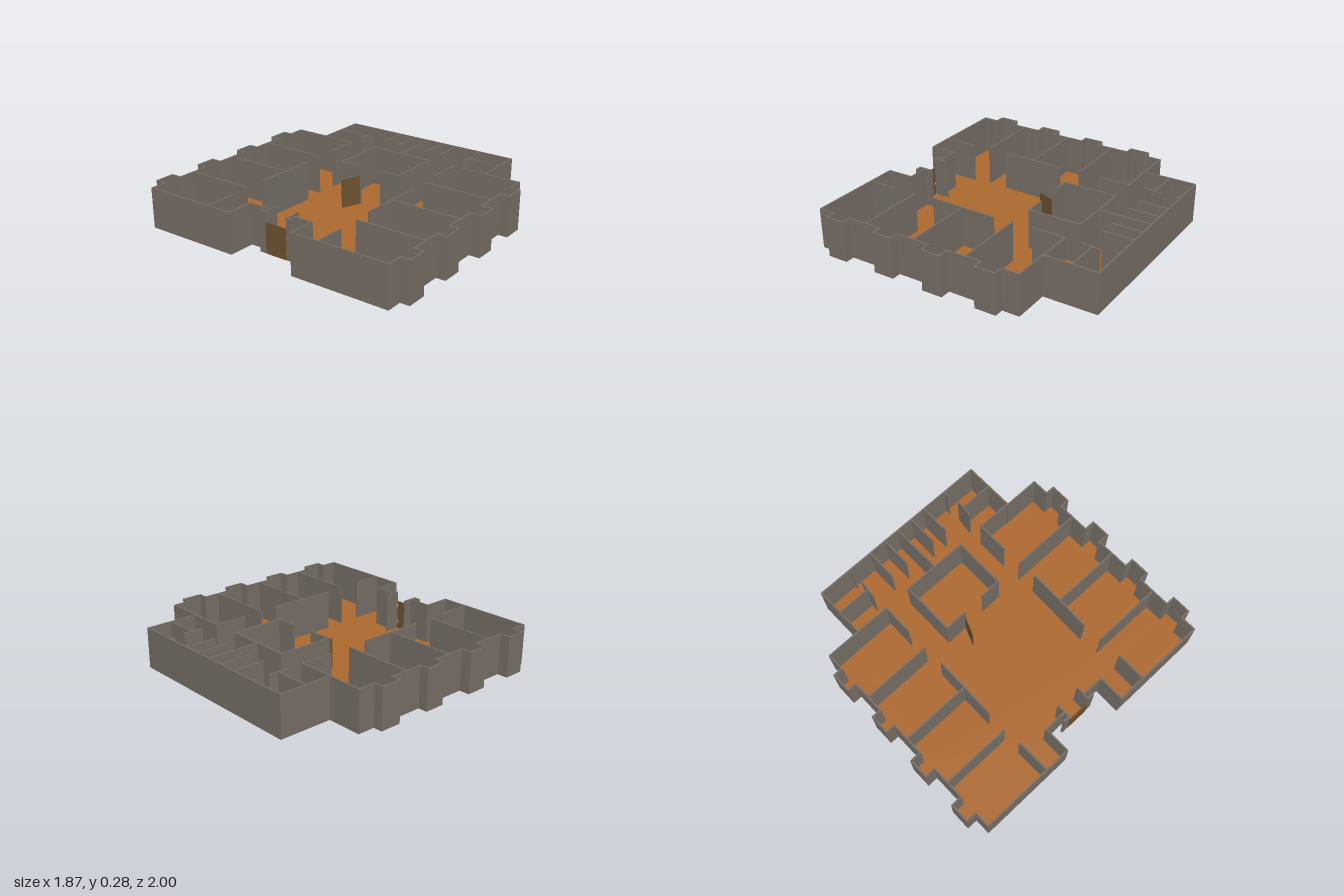
import * as THREE from 'three';

const H = 0.28; // wall height
const T = 0.01; // wall thickness
const FLOOR = 0.004;

export function createModel() {
  const root = new THREE.Group();
  const wallMat = new THREE.MeshStandardMaterial({ color: 0x766e66 });
  const floorMat = new THREE.MeshStandardMaterial({ color: 0xad682f });
  const doorMat = new THREE.MeshStandardMaterial({ color: 0x6b5230 });

  // upright panel between two plan points [x, z]
  function panel(parent, name, [x1, z1], [x2, z2], height = H, mat = wallMat, thick = T, overlap = T) {
    const length = Math.hypot(x2 - x1, z2 - z1) + overlap;
    const mesh = new THREE.Mesh(new THREE.BoxGeometry(length, height, thick), mat);
    mesh.position.set((x1 + x2) / 2, height / 2, (z1 + z2) / 2);
    mesh.rotation.y = -Math.atan2(z2 - z1, x2 - x1);
    mesh.name = name;
    parent.add(mesh);
  }
  function group(name) {
    const g = new THREE.Group();
    g.name = name;
    root.add(g);
    return g;
  }

  // plan outline: window bays along the back and the front
  const bays = [[-0.82, -0.688], [-0.447, -0.312], [-0.07, 0.063], [0.302, 0.44]];
  const backDepth = [-0.995, -0.995, -0.985, -0.985];
  const frontDepth = [0.985, 0.985, 0.995, 0.985];
  const outline = [[-0.745, -0.085], [-0.745, -0.247], [-0.93, -0.247], [-0.93, -0.922]];
  bays.forEach(([a, b], i) => outline.push([a, -0.922], [a, backDepth[i]], [b, backDepth[i]], [b, -0.922]));
  outline.push([0.56, -0.922], [0.56, -0.68], [0.93, -0.68], [0.93, 0.667], [0.56, 0.667], [0.56, 0.92]);
  for (let i = 3; i >= 0; i--) {
    const [a, b] = bays[i];
    outline.push([b, 0.92], [b, frontDepth[i]], [a, frontDepth[i]], [a, 0.92]);
  }
  outline.push([-0.93, 0.92], [-0.93, 0.24], [-0.745, 0.24], [-0.745, 0.085]);

  // floor slab, including the entrance alcove
  const shape = new THREE.Shape(
    [...outline, [-0.79, 0.085], [-0.79, -0.085]].map(([x, z]) => new THREE.Vector2(x, -z)));
  const floor = new THREE.Mesh(
    new THREE.ExtrudeGeometry(shape, { depth: FLOOR, bevelEnabled: false }), floorMat);
  floor.rotation.x = -Math.PI / 2;
  floor.name = 'floor';
  root.add(floor);

  // outer walls, open at the entrance
  const outer = group('outerWalls');
  for (let i = 0; i < outline.length - 1; i++) panel(outer, 'outerWall', outline[i], outline[i + 1]);

  // entrance: side walls, short outer wings and the closed door
  const entrance = group('entrance');
  for (const s of [-1, 1]) {
    panel(entrance, 'entranceSideWall', [-0.785, s * 0.085], [-0.69, s * 0.085]);
    panel(entrance, 'entranceWing', [-0.785, s * 0.09], [-0.785, s * 0.125], H, wallMat, 0.015);
  }
  panel(entrance, 'entranceDoor', [-0.793, -0.08], [-0.793, 0.08], 0.21, doorMat, 0.004, 0);

  // walls between rooms: [x, zStart, zEnd]
  const dividers = group('roomDividers');
  [
    [-0.565, -0.92, -0.445], [-0.19, -0.92, -0.435], [0.18, -0.92, -0.445],
    [0.56, -0.68, -0.44], [0.745, -0.68, -0.435],
    [-0.56, 0.435, 0.92], [-0.185, 0.43, 0.92], [0.19, 0.425, 0.92],
    [0.565, 0.42, 0.667], [0.755, 0.43, 0.667],
  ].forEach(([x, a, b]) => panel(dividers, 'roomDivider', [x, a], [x, b]));

  // corridor walls with doorway gaps: [xStart, zStart, xEnd, zEnd]
  const corridor = group('corridorWalls');
  [
    [-0.93, -0.425, -0.695, -0.428], [-0.415, -0.437, 0.03, -0.43], [0.34, -0.44, 0.56, -0.437],
    [0.69, -0.445, 0.805, -0.432], [0.905, -0.437, 0.93, -0.437],
    [-0.93, 0.435, -0.725, 0.437], [-0.415, 0.42, 0.055, 0.433], [0.34, 0.418, 0.565, 0.42],
    [0.685, 0.422, 0.805, 0.435], [0.895, 0.415, 0.93, 0.418],
  ].forEach(([x1, z1, x2, z2]) => panel(corridor, 'corridorWall', [x1, z1], [x2, z2]));

  // central room with its opening on the hall side
  const room = group('centralRoom');
  const ring = [[0.183, -0.085], [0.18, -0.243], [0.563, -0.243], [0.56, 0.225], [0.193, 0.225], [0.19, 0.083]];
  for (let i = 0; i < ring.length - 1; i++) panel(room, 'centralRoomWall', ring[i], ring[i + 1]);
  panel(room, 'openDoor', [0.05, -0.14], [0.185, -0.085], 0.21, doorMat, 0.005, 0);

  // cubicle partitions against the long side wall
  const cubicles = group('cubicles');
  for (const z of [-0.258, -0.127, 0.11, 0.225]) panel(cubicles, 'partition', [0.72, z], [0.93, z]);
  panel(cubicles, 'middleWall', [0.56, -0.01], [0.93, -0.01]);

  return root;
}
